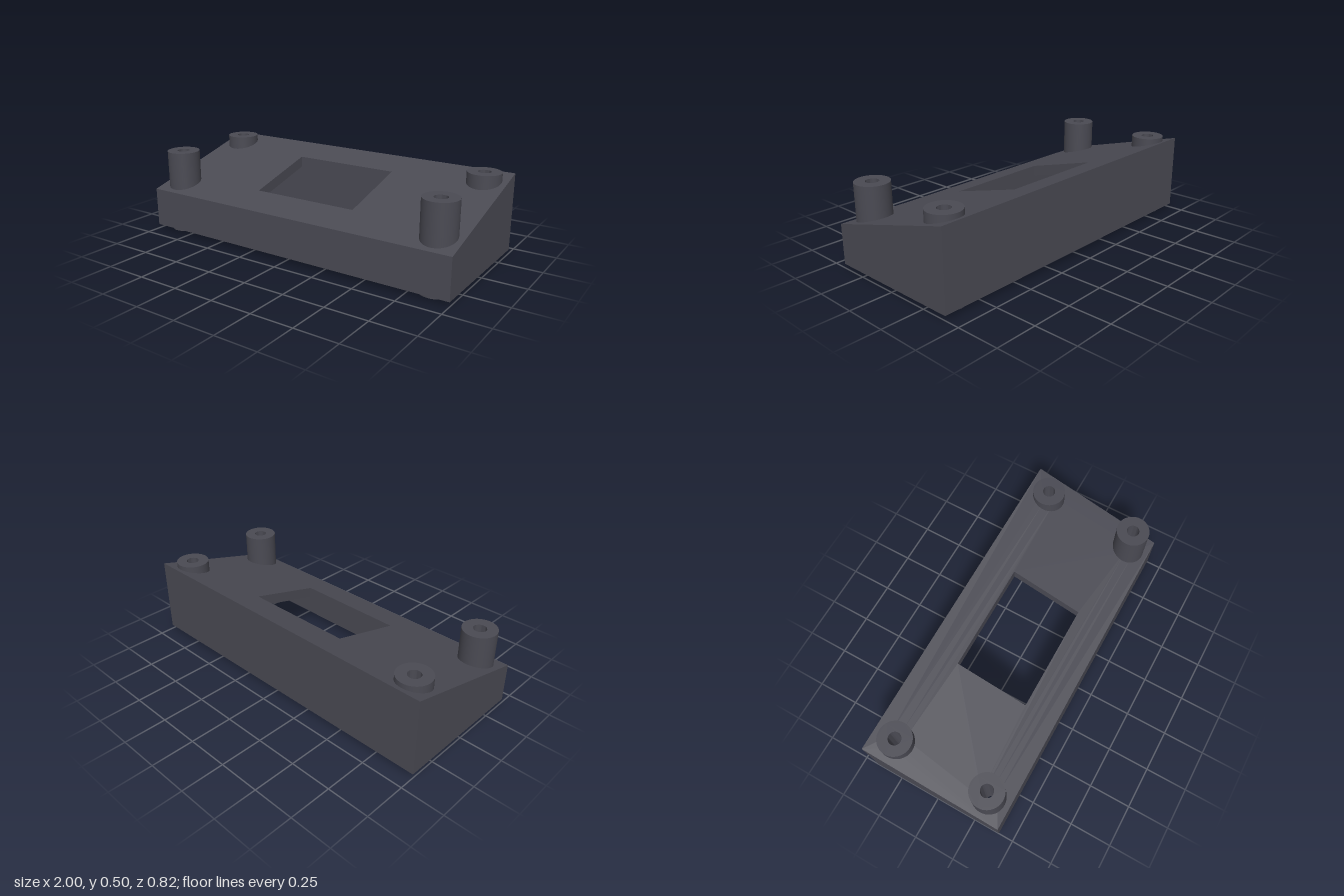
import * as THREE from 'three';
import { toCreasedNormals } from 'three/addons/utils/BufferGeometryUtils.js';

const HALF_X = 1, HALF_Z = 0.411, WALL = 0.065;
const BASE_Y = 0.025, FRONT_Y = 0.26, BACK_Y = 0.48;
const POST_X = 0.87, POST_Z = 0.283, POST_R = 0.0975, BORE_R = 0.037;

// Height of the sloped top at depth z
const topAt = (z) => THREE.MathUtils.mapLinear(z, -HALF_Z, HALF_Z, BACK_Y, FRONT_Y);

// Shape coordinates are (x, -z)
function rect(Type, x0, x1, z0, z1) {
  return new Type([
    new THREE.Vector2(x0, -z1), new THREE.Vector2(x1, -z1),
    new THREE.Vector2(x1, -z0), new THREE.Vector2(x0, -z0),
  ]);
}

function circle(Type, x, z, r) {
  const c = new Type();
  c.absarc(x, -z, r, 0, Math.PI * 2, false);
  return c;
}

// Extrude a plan upwards, then place its lower and upper faces by a height rule
function raise(plan, lower, upper) {
  const geo = new THREE.ExtrudeGeometry(plan, { depth: 1, bevelEnabled: false, curveSegments: 24 });
  geo.rotateX(-Math.PI / 2);
  const p = geo.attributes.position;
  for (let i = 0; i < p.count; i++) {
    const z = p.getZ(i);
    p.setY(i, p.getY(i) > 0.5 ? upper(z) : lower(z));
  }
  return toCreasedNormals(geo, 0.6);
}

export function createModel() {
  const group = new THREE.Group();
  group.name = 'slopedEnclosure';
  const charcoal = new THREE.MeshStandardMaterial({ color: 0x4a4a53 });
  charcoal.name = 'charcoal plastic';

  const add = (name, geo) => {
    const mesh = new THREE.Mesh(geo, charcoal);
    mesh.name = name;
    group.add(mesh);
    return mesh;
  };

  const underside = (z) => topAt(z) - WALL;
  const corners = [[-1, -1], [1, -1], [-1, 1], [1, 1]].map(([a, b]) => [a * POST_X, b * POST_Z]);

  // Four walls, open at the bottom
  const wallPlan = rect(THREE.Shape, -HALF_X, HALF_X, -HALF_Z, HALF_Z);
  wallPlan.holes.push(rect(THREE.Path, -HALF_X + WALL, HALF_X - WALL, -HALF_Z + WALL, HALF_Z - WALL));
  add('sideWalls', raise(wallPlan, () => BASE_Y, underside));

  // Sloped top with its window and clearance for the post bores
  const topPlan = rect(THREE.Shape, -HALF_X, HALF_X, -HALF_Z, HALF_Z);
  topPlan.holes.push(rect(THREE.Path, -0.33, 0.325, -0.222, 0.215));
  for (const [x, z] of corners) topPlan.holes.push(circle(THREE.Path, x, z, BORE_R + 0.01));
  add('slopedTop', raise(topPlan, underside, topAt));

  // Hollow screw posts passing through the corners
  const postPlan = circle(THREE.Shape, 0, 0, POST_R);
  postPlan.holes.push(circle(THREE.Path, 0, 0, BORE_R));
  const postGeo = raise(postPlan, () => 0, () => 0.5);
  for (const [x, z] of corners) add('screwPost', postGeo).position.set(x, 0, z);

  return group;
}
